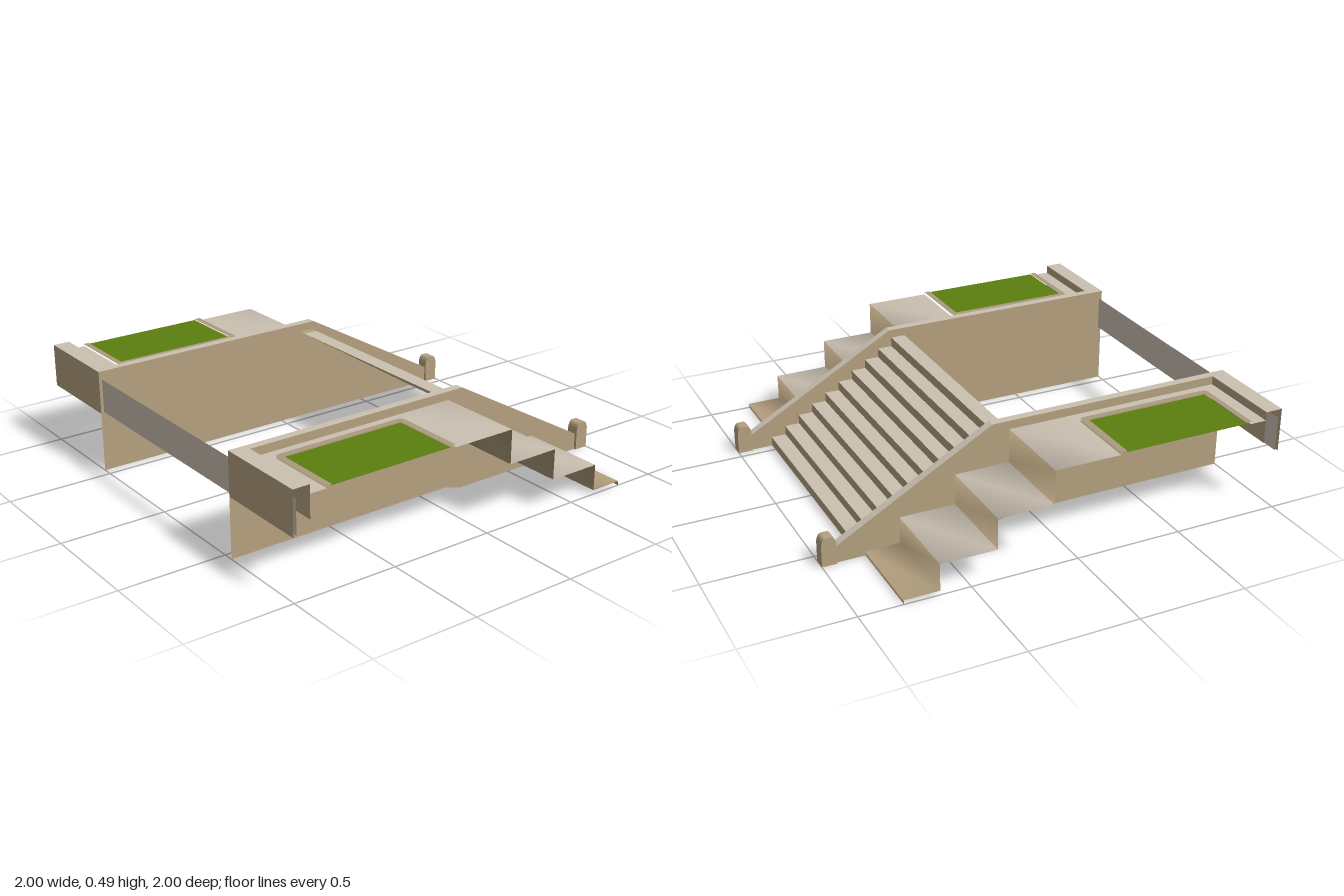
import * as THREE from 'three';

const mat = (name, color) => {
  const m = new THREE.MeshStandardMaterial({ color, side: THREE.DoubleSide });
  m.name = name;
  return m;
};

export function createModel() {
  const tan = mat('tan stone', 0xb5a17f);
  const light = mat('light stone', 0xcbc1b2);
  const taupe = mat('planter border', 0xac9a80);
  const green = mat('grass', 0x5b7f0f);
  const model = new THREE.Group();

  const add = (name, geometry, material, parent = model) => {
    const mesh = new THREE.Mesh(geometry, material);
    mesh.name = name;
    parent.add(mesh);
    return mesh;
  };

  // Sheet swept along z from an x/y profile, one material per segment
  const sheet = (name, pts, za, zb, materials, parent, smooth = false) => {
    const z0 = Math.min(za, zb), z1 = Math.max(za, zb);
    const pos = [], index = [];
    pts.forEach(([x, y]) => pos.push(x, y, z0, x, y, z1));
    for (let i = 0; i < pts.length - 1; i++) {
      const a = 2 * i;
      index.push(a, a + 1, a + 3, a, a + 3, a + 2);
    }
    let g = new THREE.BufferGeometry();
    g.setAttribute('position', new THREE.Float32BufferAttribute(pos, 3));
    g.setIndex(index);
    if (!smooth) g = g.toNonIndexed();
    g.computeVertexNormals();
    const used = [...new Set(materials)];
    for (let i = 0; i < pts.length - 1; i++) {
      g.addGroup(6 * i, 6, used.indexOf(materials[i % materials.length]));
    }
    return add(name, g, used, parent);
  };

  const shapeOf = (pts) => new THREE.Shape(pts.map(([x, y]) => new THREE.Vector2(x, y)));

  // Main staircase: ten treads falling toward +x
  const steps = [];
  for (let i = 0; i < 10; i++) {
    const y = 0.45 - 0.045 * i;
    steps.push([0.12 + 0.071 * i, y], [0.191 + 0.071 * i, y]);
  }
  steps.push([0.83, 0]);
  sheet('stairs', steps, -0.51, 0.55, [light, tan], model);
  sheet('stairsEdge', steps, -0.55, -0.51, [tan], model);

  // Thin band joining both sides at the back
  sheet('backBand', [[-0.985, 0.45], [-0.985, 0.29]], -1, 1, [light], model);

  for (const s of [1, -1]) {
    const side = new THREE.Group();
    side.name = s > 0 ? 'frontSide' : 'rearSide';
    model.add(side);

    // Side wall: full inner face, outer face cut along a diagonal, light cap
    const inner = shapeOf([[-1, 0], [0.93, 0], [0.93, 0.08], [0.2, 0.49], [-1, 0.49]]);
    add('wallInner', new THREE.ShapeGeometry(inner), tan, side).position.z = 0.547 * s;
    const outer = shapeOf([[-0.92, 0.34], [0.2, 0], [0.93, 0], [0.93, 0.08], [0.2, 0.49], [-0.92, 0.49]]);
    add('wallOuter', new THREE.ShapeGeometry(outer), tan, side).position.z = 0.587 * s;
    sheet('wallCap', [[-0.92, 0.49], [0.2, 0.49], [0.93, 0.08]], 0.547 * s, 0.587 * s, [light], side);

    // Back parapet
    sheet('parapet', [[-1, 0.285], [-1, 0.49], [-0.92, 0.49], [-0.92, 0.34]],
      0.547 * s, s, [tan, light, tan], side);

    // Terrace around the planter opening, then three big steps
    sheet('terraceBack', [[-0.92, 0.45], [-0.84, 0.45]], 0.587 * s, s, [light], side);
    sheet('terraceEdge', [[-0.84, 0.45], [-0.19, 0.45]], 0.587 * s, 0.65 * s, [light], side);
    sheet('terraceSteps', [
      [-0.19, 0.45], [0.12, 0.45], [0.12, 0.29], [0.38, 0.29], [0.38, 0.145],
      [0.64, 0.145], [0.64, 0.02], [0.8, 0.02], [0.8, 0],
    ], 0.587 * s, s, [light, tan, light, tan, light, tan, tan, tan], side, true);

    // Planter border: U-shaped plate with rounded corners, open at the outer end
    const border = new THREE.Shape();
    border.moveTo(-0.845, s);
    border.lineTo(-0.845, 0.67 * s);
    border.quadraticCurveTo(-0.845, 0.645 * s, -0.82, 0.645 * s);
    border.lineTo(-0.215, 0.645 * s);
    border.quadraticCurveTo(-0.19, 0.645 * s, -0.19, 0.67 * s);
    border.lineTo(-0.19, s);
    border.lineTo(-0.22, s);
    border.lineTo(-0.22, 0.675 * s);
    border.lineTo(-0.817, 0.675 * s);
    border.lineTo(-0.817, s);
    const borderMesh = add('planterBorder', new THREE.ShapeGeometry(border).rotateX(Math.PI / 2), taupe, side);
    borderMesh.position.y = 0.462;

    // Grass
    const grass = new THREE.PlaneGeometry(0.6, 0.325).rotateX(-Math.PI / 2);
    add('grass', grass, green, side).position.set(-0.5185, 0.457, 0.8375 * s);

    // End post with arched top
    const arch = new THREE.Shape();
    arch.moveTo(0.932, 0);
    arch.lineTo(1, 0);
    arch.lineTo(1, 0.1);
    arch.quadraticCurveTo(0.995, 0.132, 0.98, 0.134);
    arch.lineTo(0.952, 0.134);
    arch.quadraticCurveTo(0.937, 0.132, 0.932, 0.1);
    const post = new THREE.ExtrudeGeometry(arch, { depth: 0.058, bevelEnabled: false, curveSegments: 4 });
    add('endPost', post, tan, side).position.z = 0.568 * s - 0.029;
  }
  return model;
}
